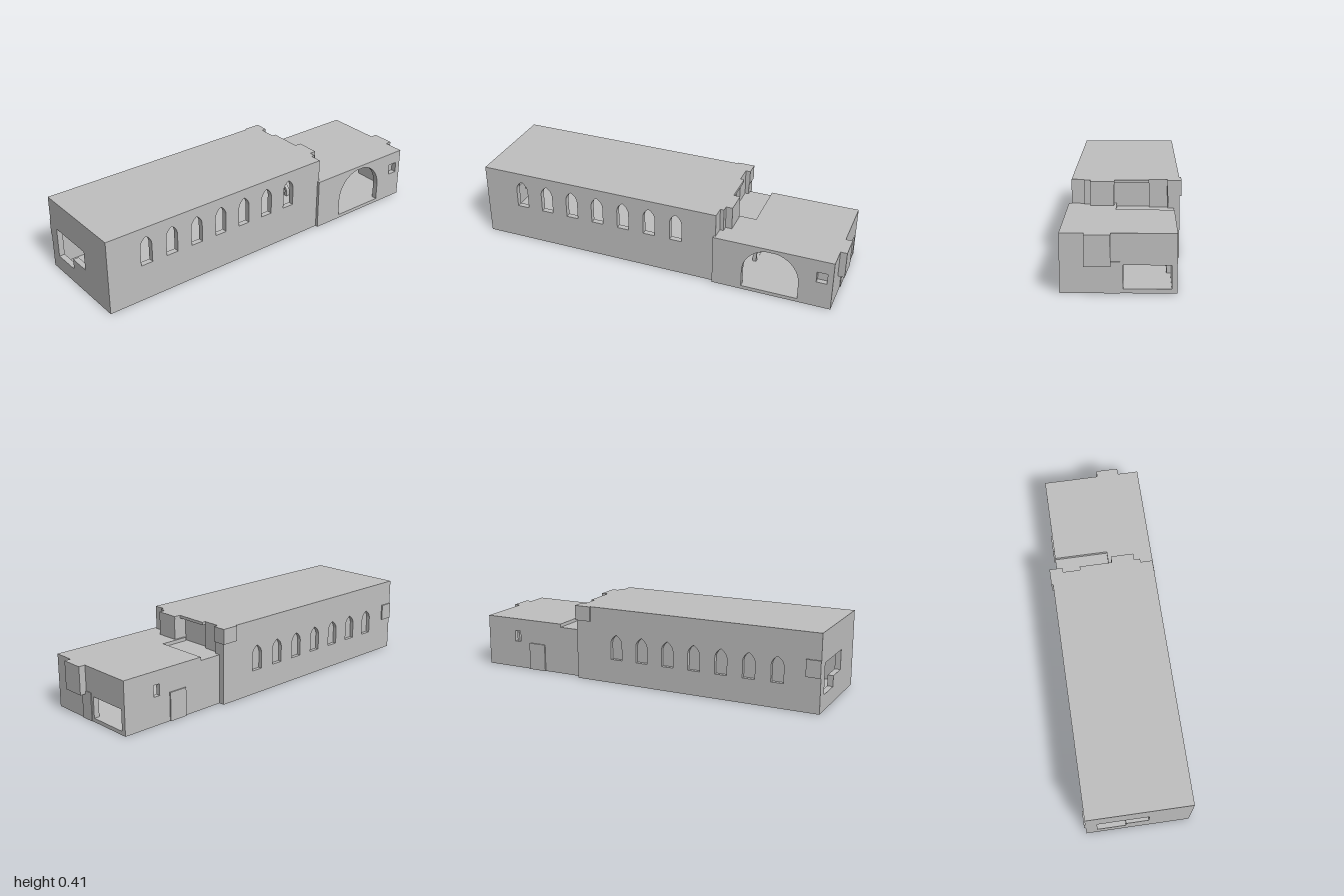
import * as THREE from 'three';

export function createModel() {
  const root = new THREE.Group();
  root.name = 'hallBuilding';
  const stone = new THREE.MeshStandardMaterial({ color: 0xbfbfbf });
  stone.name = 'grey stone';

  const add = (name, geo) => {
    const mesh = new THREE.Mesh(geo, stone);
    mesh.name = name;
    root.add(mesh);
    return mesh;
  };
  // Box given by its two extreme corners
  const block = (name, x0, x1, y0, y1, z0, z1) => {
    const mesh = add(name, new THREE.BoxGeometry(x1 - x0, y1 - y0, z1 - z0));
    mesh.position.set((x0 + x1) / 2, (y0 + y1) / 2, (z0 + z1) / 2);
    return mesh;
  };
  const outline = (pts) => new THREE.Shape(pts.map(([a, b]) => new THREE.Vector2(a, b)));
  const rect = (a0, a1, b0, b1) => outline([[a0, b0], [a1, b0], [a1, b1], [a0, b1]]);
  const extrude = (shape, depth) =>
    new THREE.ExtrudeGeometry(shape, { depth, bevelEnabled: false, curveSegments: 10 });

  // Pointed opening: straight jambs and two curved sides meeting at the tip
  const pointed = (c, w, b, spring, top) => {
    const s = new THREE.Shape();
    const h = w / 2, rise = top - spring;
    s.moveTo(c - h, b);
    s.lineTo(c + h, b);
    s.lineTo(c + h, spring);
    s.quadraticCurveTo(c + h, spring + rise * 0.6, c, top);
    s.quadraticCurveTo(c - h, spring + rise * 0.6, c - h, spring);
    s.closePath();
    return s;
  };
  // Wall along x, starting at z
  const wallX = (name, shape, holes, z, depth) => {
    shape.holes.push(...holes);
    add(name, extrude(shape, depth)).position.z = z;
  };
  // Wall along z, its outer face at x and its thickness towards -x
  const wallZ = (name, shape, holes, x, depth) => {
    shape.holes.push(...holes);
    add(name, extrude(shape, depth).rotateY(-Math.PI / 2)).position.x = x;
  };
  // Flat slab from an x,z plan, its upper face at y
  const slab = (name, shape, y, depth) => {
    add(name, extrude(shape, depth).rotateX(Math.PI / 2)).position.y = y;
  };

  // Floors
  block('hallFloor', -1, 0.36, 0, 0.02, -0.28, 0.27);
  block('annexFloor', 0.33, 0.965, 0, 0.02, -0.25, 0.285);

  // Hall side walls: open windows in front, lower shallow niches behind
  const windowX = Array.from({ length: 7 }, (_, i) => -0.78 + i * 0.15);
  wallX('hallFrontWall', rect(-1, 0.34, 0, 0.405),
    windowX.map((x) => pointed(x, 0.066, 0.2, 0.3, 0.355)), 0.24, 0.03);
  wallX('hallBackWall', rect(-1, 0.36, 0, 0.405),
    windowX.map((x) => pointed(x, 0.066, 0.13, 0.215, 0.265)), -0.28, 0.02);
  block('nicheBacking', -0.99, 0.36, 0.01, 0.39, -0.26, -0.245);

  // Hall west wall with its stepped opening
  wallZ('hallWestWall', rect(-0.28, 0.27, 0, 0.405),
    [outline([[-0.22, 0.083], [-0.07, 0.083], [-0.07, 0.14], [0.05, 0.14], [0.05, 0.245], [-0.22, 0.245]])],
    -0.97, 0.03);

  // Hall roof follows the stepped east end
  slab('hallRoof', outline([
    [-1, -0.28], [0.36, -0.28], [0.36, -0.22], [0.34, -0.22], [0.34, -0.125], [0.36, -0.125],
    [0.36, 0.05], [0.395, 0.05], [0.395, 0.173], [0.36, 0.173], [0.36, 0.205], [0.34, 0.205],
    [0.34, 0.27], [-1, 0.27],
  ]), 0.405, 0.015);

  // East end blocks above the annex: z range, outer x
  [[0.205, 0.27, 0.34], [0.173, 0.205, 0.36], [0.052, 0.173, 0.395],
    [-0.125, 0.052, 0.32], [-0.22, -0.125, 0.34], [-0.28, -0.22, 0.36]].forEach(([z0, z1, x]) =>
    block('hallEastStep', 0.3, x, 0.26, 0.4, z0, z1));
  block('northEastCornerBox', 0.275, 0.365, 0.325, 0.405, -0.289, -0.217);
  block('northWestCornerBox', -1, -0.925, 0.182, 0.27, -0.287, -0.27);

  // Annex walls
  const bigArch = new THREE.Shape();
  bigArch.moveTo(0.49, 0.02);
  bigArch.lineTo(0.79, 0.02);
  bigArch.lineTo(0.79, 0.115);
  bigArch.absarc(0.64, 0.115, 0.15, 0, Math.PI, false);
  bigArch.closePath();
  wallX('annexFrontWall', rect(0.33, 0.965, 0, 0.28),
    [bigArch, rect(0.88, 0.94, 0.15, 0.21)], 0.255, 0.03);
  block('smallNicheBacking', 0.87, 0.95, 0.14, 0.22, 0.24, 0.257);
  wallX('annexBackWall',
    outline([[0.35, 0], [0.965, 0], [0.965, 0.28], [0.485, 0.28], [0.485, 0.262], [0.35, 0.262]]),
    [rect(0.752, 0.788, 0.15, 0.21)], -0.25, 0.025);
  wallZ('annexEastWall', rect(-0.25, 0.285, 0, 0.28),
    [rect(-0.228, -0.005, 0.018, 0.132)], 0.965, 0.03);

  // Annex roof with a sunken corner beside the hall
  slab('annexRoof', outline([
    [0.485, -0.25], [0.965, -0.25], [0.965, 0.285], [0.33, 0.285], [0.33, 0.04], [0.485, 0.04],
  ]), 0.28, 0.018);
  block('sunkenRoof', 0.31, 0.49, 0.25, 0.262, -0.25, 0.045);

  // Outer additions on the annex
  block('eastBay', 0.96, 1, 0.132, 0.28, 0.052, 0.173);
  block('eastDoorPanel', 0.96, 0.969, 0, 0.148, 0.01, 0.082);
  block('backDoorPanel', 0.59, 0.69, 0, 0.15, -0.257, -0.249);

  // Pointed arch frames inside the annex
  const frame = (c, w, top) => {
    const s = pointed(c, w, 0.02, 0.02 + (top - 0.02) * 0.45, top);
    s.holes.push(pointed(c, w - 0.03, 0.021, 0.02 + (top - 0.02) * 0.45, top - 0.017));
    return s;
  };
  wallX('innerBackArch', frame(0.645, 0.13, 0.14), [], -0.226, 0.02);
  wallZ('innerLargeArch', frame(-0.13, 0.065, 0.1), [], 0.38, 0.02);
  wallZ('innerSmallArch', frame(-0.085, 0.05, 0.085), [], 0.42, 0.02);
  wallZ('innerSideArch', frame(0, 0.1, 0.135), [], 0.5, 0.02);

  return root;
}
